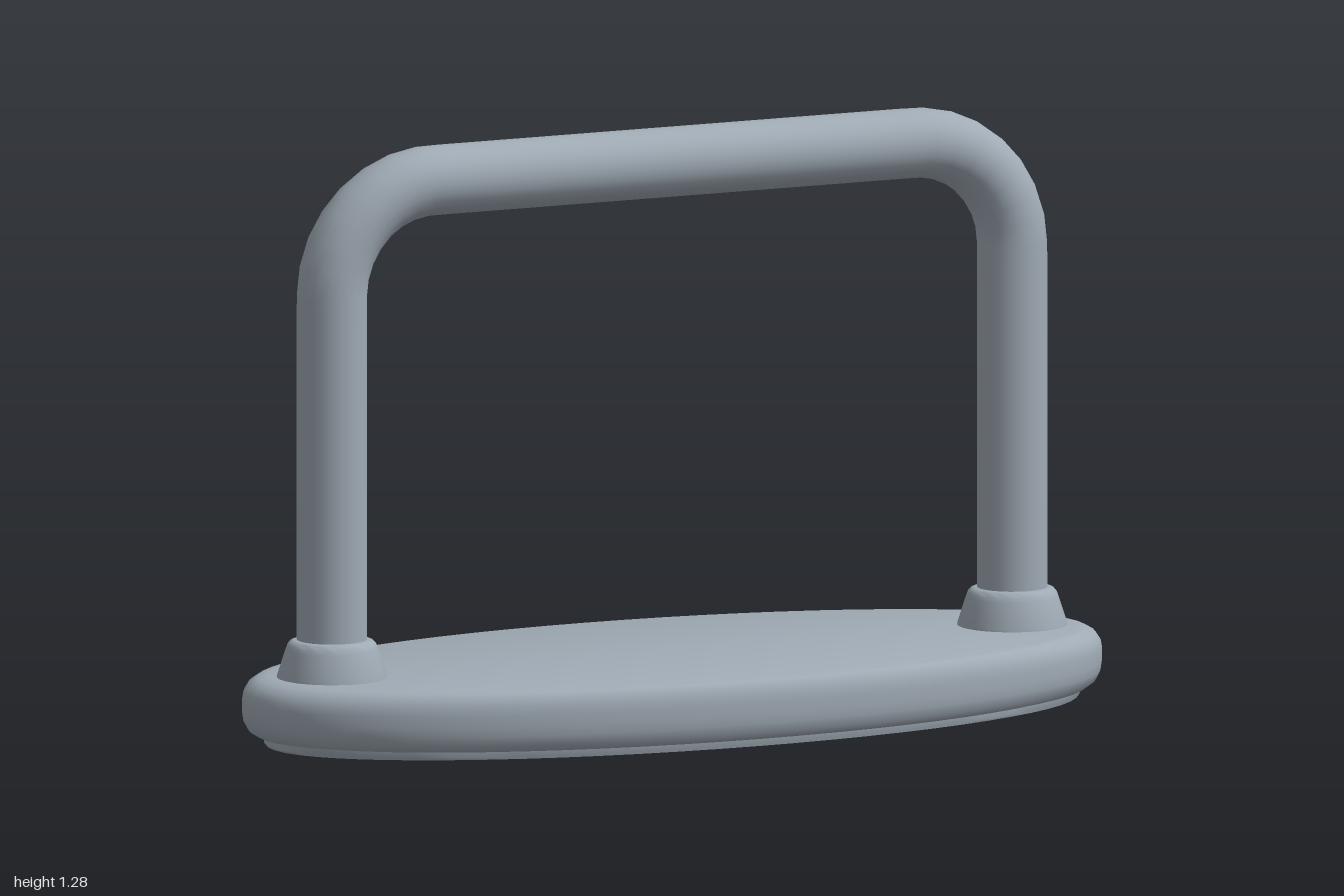
import * as THREE from 'three';
import { toCreasedNormals } from 'three/addons/utils/BufferGeometryUtils.js';

const steel = new THREE.MeshStandardMaterial({ color: 0xa0abb5 });
steel.name = 'steel grey';

// Turned part from [radius, height] points; depth squashes it into an ellipse
function turned(name, profile, segments, depth = 1) {
  const points = profile.map(([r, y]) => new THREE.Vector2(r, y));
  const geometry = new THREE.LatheGeometry(points, segments);
  geometry.scale(1, 1, depth);
  const mesh = new THREE.Mesh(toCreasedNormals(geometry, 0.75), steel);
  mesh.name = name;
  return mesh;
}

// Round bar running up, across and down with rounded corners
function createHandle() {
  const x = 0.81, top = 1.205, bend = 0.235, foot = 0.13;
  const k = bend * (1 - 0.5523);
  const v = (px, py) => new THREE.Vector3(px, py, 0);
  const path = new THREE.CurvePath();
  path.add(new THREE.LineCurve3(v(-x, foot), v(-x, top - bend)));
  path.add(new THREE.CubicBezierCurve3(
    v(-x, top - bend), v(-x, top - k), v(-x + k, top), v(-x + bend, top)));
  path.add(new THREE.LineCurve3(v(-x + bend, top), v(x - bend, top)));
  path.add(new THREE.CubicBezierCurve3(
    v(x - bend, top), v(x - k, top), v(x, top - k), v(x, top - bend)));
  path.add(new THREE.LineCurve3(v(x, top - bend), v(x, foot)));
  const mesh = new THREE.Mesh(new THREE.TubeGeometry(path, 72, 0.075, 24), steel);
  mesh.name = 'handle';
  return mesh;
}

export function createModel() {
  const model = new THREE.Group();
  model.name = 'handleOnOvalBase';

  // Thin pad under the base
  model.add(turned('bottomPad',
    [[0, 0], [0.945, 0], [0.95, 0.005], [0.95, 0.03], [0, 0.03]], 64, 0.427));

  // Oval base with a rounded rim
  model.add(turned('base', [
    [0, 0.018], [0.94, 0.018], [0.965, 0.022], [0.985, 0.034], [0.997, 0.055],
    [1, 0.075], [1, 0.1], [0.997, 0.117], [0.985, 0.135], [0.965, 0.146],
    [0.94, 0.15], [0, 0.15],
  ], 64, 0.447));

  model.add(createHandle());

  // Tapered collar at the foot of each leg
  for (const side of [-1, 1]) {
    const collar = turned(side > 0 ? 'leftCollar' : 'rightCollar', [
      [0.118, 0.145], [0.117, 0.155], [0.099, 0.21], [0.095, 0.221],
      [0.089, 0.228], [0.081, 0.231], [0.07, 0.231],
    ], 32);
    collar.position.x = side * 0.81;
    model.add(collar);
  }
  return model;
}
